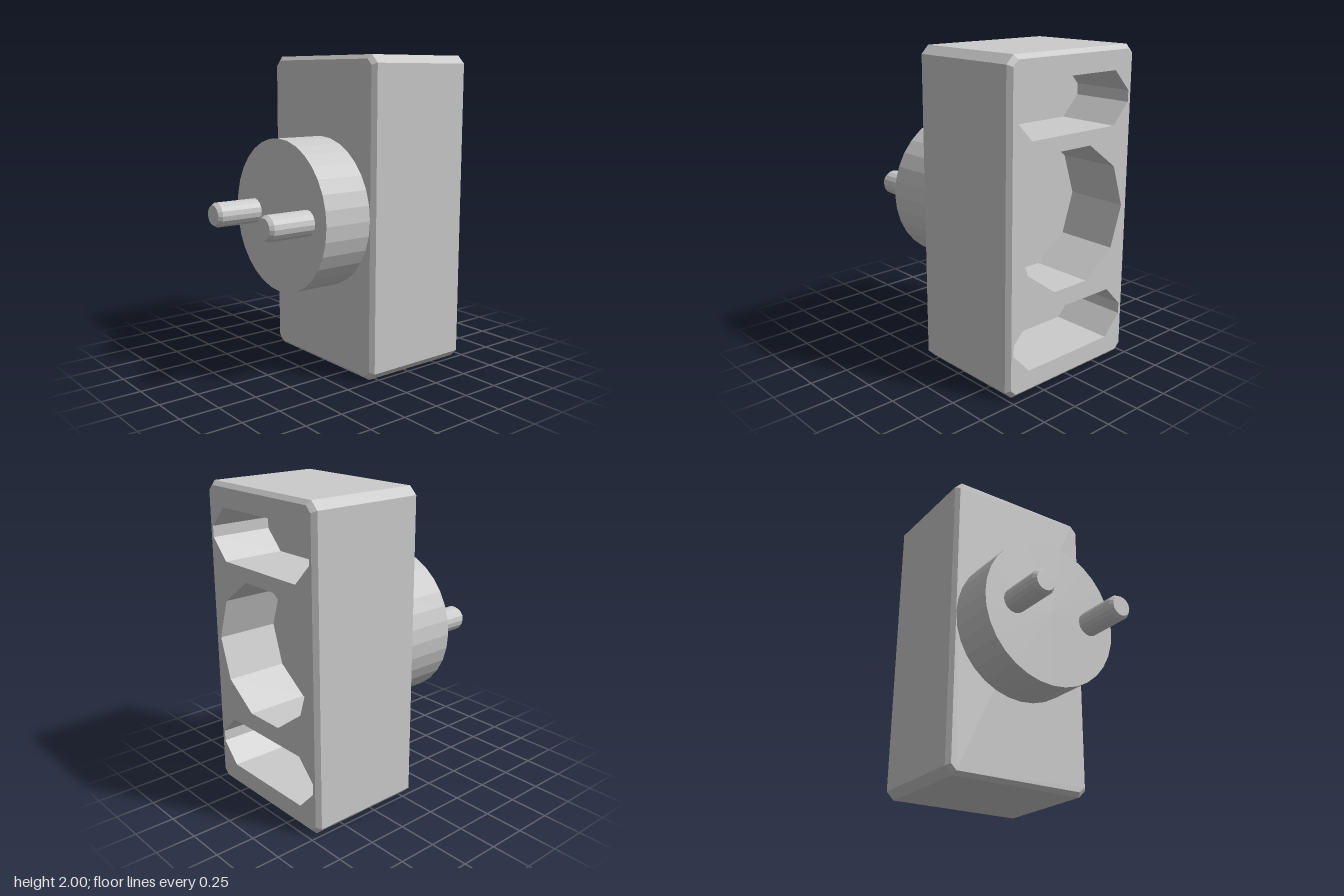
import * as THREE from 'three';

const material = new THREE.MeshStandardMaterial({ color: 0xcccccc, flatShading: true });

// Rectangle with cut corners, counter-clockwise, centred on (0, cy)
function cutRect(hw, hh, cutX, cutY, cy) {
  return [
    [hw, -hh + cutY], [hw, hh - cutY], [hw - cutX, hh], [-hw + cutX, hh],
    [-hw, hh - cutY], [-hw, -hh + cutY], [-hw + cutX, -hh], [hw - cutX, -hh],
  ].map(([x, y]) => new THREE.Vector2(x, y + cy));
}

function polygon(radius, sides, cy) {
  return Array.from({ length: sides }, (_, i) => {
    const a = (i / sides) * Math.PI * 2;
    return new THREE.Vector2(radius * Math.cos(a), cy + radius * Math.sin(a));
  });
}

// Walls joining outlines at successive z; rising z faces outward, falling z inward
function loft(sections) {
  const pos = [];
  for (let s = 0; s < sections.length - 1; s++) {
    const [A, za] = sections[s], [B, zb] = sections[s + 1];
    for (let i = 0; i < A.length; i++) {
      const j = (i + 1) % A.length;
      const a = [A[i].x, A[i].y, za], b = [A[j].x, A[j].y, za];
      const c = [B[j].x, B[j].y, zb], d = [B[i].x, B[i].y, zb];
      pos.push(...a, ...b, ...c, ...a, ...c, ...d);
    }
  }
  const g = new THREE.BufferGeometry();
  g.setAttribute('position', new THREE.Float32BufferAttribute(pos, 3));
  g.computeVertexNormals();
  return g;
}

// Flat face at z, turned to the back when asked (outlines are symmetric in x)
function face(outline, z, back, holes = []) {
  const shape = new THREE.Shape(outline);
  shape.holes = holes.map((h) => new THREE.Path(h));
  const g = new THREE.ShapeGeometry(shape);
  if (back) g.rotateY(Math.PI);
  return g.translate(0, 0, z);
}

export function createModel() {
  const group = new THREE.Group();
  const add = (name, geometry, parent = group) => {
    const mesh = new THREE.Mesh(geometry, material);
    mesh.name = name;
    parent.add(mesh);
    return mesh;
  };

  const front = 0.07, back = -0.71, floor = -0.3, bevel = 0.026;
  const plugY = 1.015;

  // Housing with bevelled edges and openings in its back
  const outer = cutRect(0.51, 1, 0.05, 0.05, 1);
  const inner = cutRect(0.51 - bevel, 1 - bevel, 0.036, 0.036, 1);
  const recesses = [
    ['upperSlot', cutRect(0.465, 0.165, 0.125, 0.13, 1.69)],
    ['roundSocket', polygon(0.445, 10, 1.01)],
    ['lowerSlot', cutRect(0.465, 0.165, 0.125, 0.13, 0.31)],
  ];
  const housing = new THREE.Group();
  housing.name = 'housing';
  group.add(housing);
  add('housingSides', loft([[inner, back], [outer, back + bevel], [outer, front - bevel], [inner, front]]), housing);
  add('housingFront', face(inner, front, false), housing);
  add('housingBack', face(inner, back, true, recesses.map((r) => r[1])), housing);

  // Recess walls and floors
  for (const [name, outline] of recesses) {
    const recess = new THREE.Group();
    recess.name = name;
    group.add(recess);
    add(name + 'Walls', loft([[outline, floor], [outline, back]]), recess);
    add(name + 'Floor', face(outline, floor, true), recess);
  }

  // Round plug base on the front
  const base = new THREE.CylinderGeometry(0.483, 0.483, 0.33, 32).rotateX(Math.PI / 2);
  add('plugBase', base).position.set(0, plugY, front + 0.165);

  // Two contact pins with chamfered tips
  const profile = [[0.08, 0], [0.08, 0.285], [0.064, 0.31], [0, 0.31]].map((p) => new THREE.Vector2(...p));
  for (const [name, x] of [['rightPin', -0.272], ['leftPin', 0.296]]) {
    const pin = new THREE.LatheGeometry(profile, 16).rotateX(Math.PI / 2);
    add(name, pin).position.set(x, plugY, 0.4);
  }

  return group;
}
